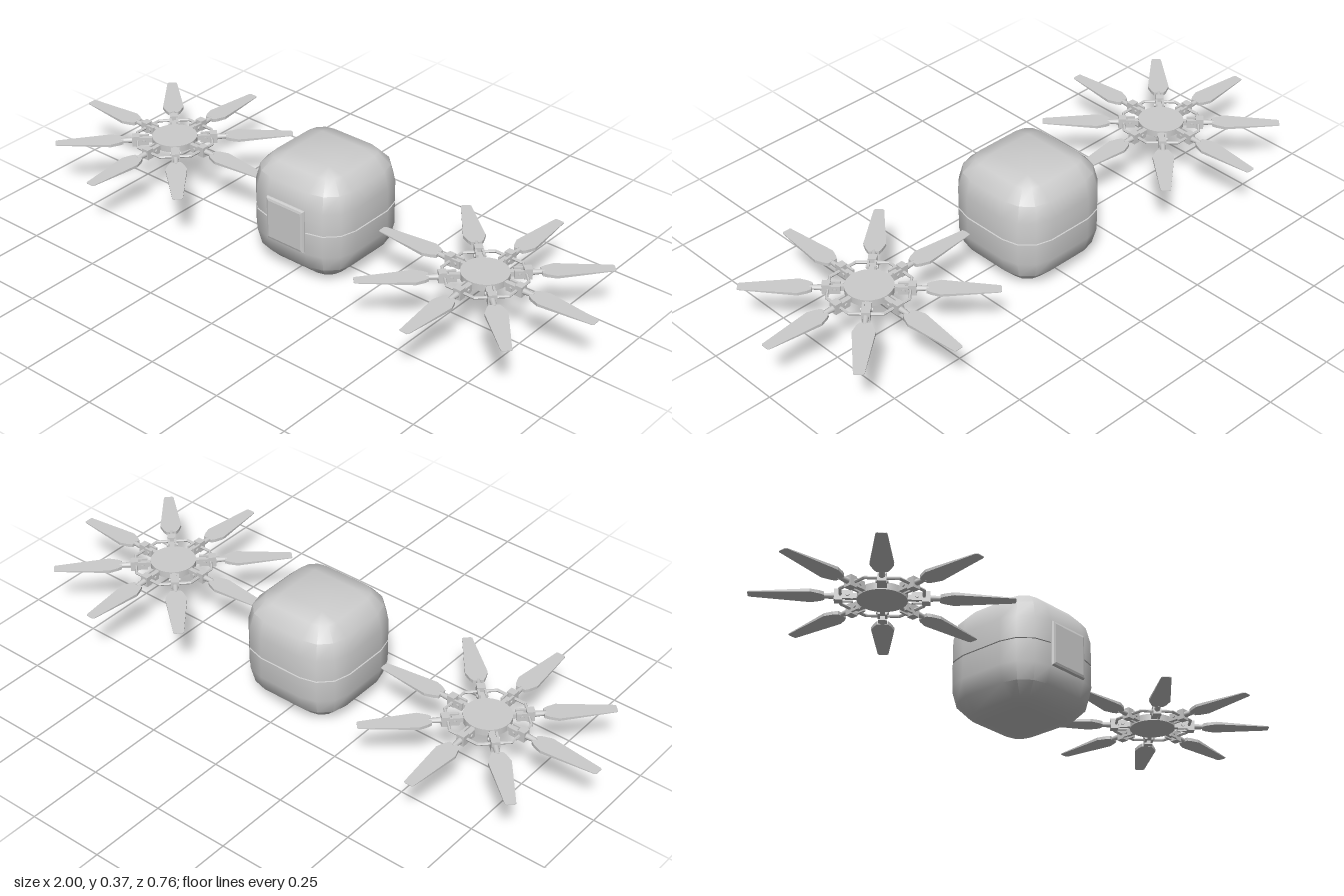
import * as THREE from 'three';
import { mergeVertices, toCreasedNormals } from 'three/addons/utils/BufferGeometryUtils.js';

const material = new THREE.MeshStandardMaterial({ color: 0xcccccc, side: THREE.DoubleSide });
const MID = 0.183, FLAT = 0.075, ROUND = 0.108;

function add(parent, name, geometry, x = 0, y = 0, z = 0) {
  const mesh = new THREE.Mesh(geometry, material);
  mesh.name = name;
  mesh.position.set(x, y, z);
  parent.add(mesh);
  return mesh;
}

// Rounded cube lofted from rounded-square loops, with a fine seam round its middle
function bodyGeometry() {
  const steps = 3, levels = [[-MID, -FLAT]];
  const angle = i => (i / steps) * Math.PI / 2;
  for (let i = 0; i <= steps; i++) levels.push([-FLAT - ROUND * Math.cos(angle(i)), ROUND * Math.sin(angle(i))]);
  levels.push([-0.003, ROUND], [-0.002, ROUND - 0.004]);
  const all = levels.concat(levels.slice().reverse().map(([y, r]) => [-y, r]));
  const pos = [], index = [], n = 4 * (steps + 1);
  for (const [y, r] of all) {
    // A radius of -FLAT closes the loop to a point
    for (let q = 0; q < 4; q++) {
      const a0 = q * Math.PI / 2;
      const cx = FLAT * Math.SQRT2 * Math.cos(a0 + Math.PI / 4), cz = FLAT * Math.SQRT2 * Math.sin(a0 + Math.PI / 4);
      for (let i = 0; i <= steps; i++) {
        const a = a0 + angle(i), closed = r === -FLAT;
        pos.push(closed ? 0 : cx + r * Math.cos(a), y, closed ? 0 : cz + r * Math.sin(a));
      }
    }
  }
  for (let l = 0; l < all.length - 1; l++) {
    for (let i = 0; i < n; i++) {
      const a = l * n + i, b = l * n + (i + 1) % n;
      index.push(a, a + n, b, b, a + n, b + n);
    }
  }
  const g = new THREE.BufferGeometry();
  g.setAttribute('position', new THREE.Float32BufferAttribute(pos, 3));
  g.setIndex(index);
  // Drop the zero-area triangles at the poles and round flat corners
  const merged = mergeVertices(g, 1e-5), kept = [], id = merged.index.array;
  for (let i = 0; i < id.length; i += 3) {
    const [a, b, c] = [id[i], id[i + 1], id[i + 2]];
    if (a !== b && b !== c && c !== a) kept.push(a, b, c);
  }
  merged.setIndex(kept);
  return toCreasedNormals(merged, 0.62);
}

// Front plate with a chamfered rim
function panelGeometry() {
  const h = 0.063;
  const s = new THREE.Shape([[-h, -h], [h, -h], [h, h], [-h, h]].map(p => new THREE.Vector2(...p)));
  return new THREE.ExtrudeGeometry(s, { depth: 0.02, bevelEnabled: true, bevelSize: 0.01, bevelThickness: 0.008, bevelSegments: 2 });
}

// Flat blade that thins towards its tip
function bladeGeometry() {
  const outline = [[0.165, -0.016], [0.178, -0.024], [0.205, -0.034], [0.378, -0.016], [0.382, -0.012],
    [0.382, 0.012], [0.378, 0.016], [0.205, 0.034], [0.178, 0.024], [0.165, 0.016]];
  const g = new THREE.ExtrudeGeometry(new THREE.Shape(outline.map(p => new THREE.Vector2(...p))), { depth: 1, bevelEnabled: false });
  g.translate(0, 0, -0.5).rotateX(-Math.PI / 2);
  const p = g.attributes.position;
  for (let i = 0; i < p.count; i++) {
    const t = (p.getX(i) - 0.165) / 0.217;
    p.setY(i, p.getY(i) * (0.011 * (1 - t) + 0.002 * t));
  }
  g.computeVertexNormals();
  return g;
}

function createRotor(name, x) {
  const rotor = new THREE.Group();
  rotor.name = name;
  rotor.position.set(x, 0.184, 0);

  add(rotor, 'hubDisc', new THREE.CylinderGeometry(0.073, 0.073, 0.022, 32));

  // Thin octagonal ring, flats facing the blades
  const ring = new THREE.TorusGeometry(0.129, 0.005, 6, 8);
  ring.rotateX(Math.PI / 2).rotateY(Math.PI / 8);
  add(rotor, 'octagonRing', toCreasedNormals(ring, 0.5));

  const blade = bladeGeometry();
  const inner = new THREE.BoxGeometry(0.04, 0.016, 0.014);
  const cheek = new THREE.BoxGeometry(0.03, 0.026, 0.007);
  const collar = new THREE.BoxGeometry(0.024, 0.034, 0.026);
  const pin = new THREE.CylinderGeometry(0.006, 0.006, 0.036, 10).rotateX(Math.PI / 2);
  const neck = new THREE.CylinderGeometry(0.007, 0.01, 0.04, 10).rotateZ(-Math.PI / 2);
  for (let k = 0; k < 8; k++) {
    const arm = new THREE.Group();
    arm.name = 'bladeArm' + (k + 1);
    arm.rotation.y = k * Math.PI / 4;
    add(arm, 'innerLink', inner, 0.085);
    for (const s of [-1, 1]) add(arm, 'hingeCheek', cheek, 0.098, 0, s * 0.0105);
    add(arm, 'hingePin', pin, 0.099);
    add(arm, 'collar', collar, 0.125);
    add(arm, 'neck', neck, 0.152);
    add(arm, 'blade', blade);
    rotor.add(arm);
  }
  return rotor;
}

export function createModel() {
  const model = new THREE.Group();
  model.name = 'rotorCube';
  add(model, 'body', bodyGeometry(), 0, MID, -0.02);
  add(model, 'frontPanel', panelGeometry(), 0, 0.184, 0.146);
  model.add(createRotor('leftRotor', 0.618), createRotor('rightRotor', -0.618));
  return model;
}
